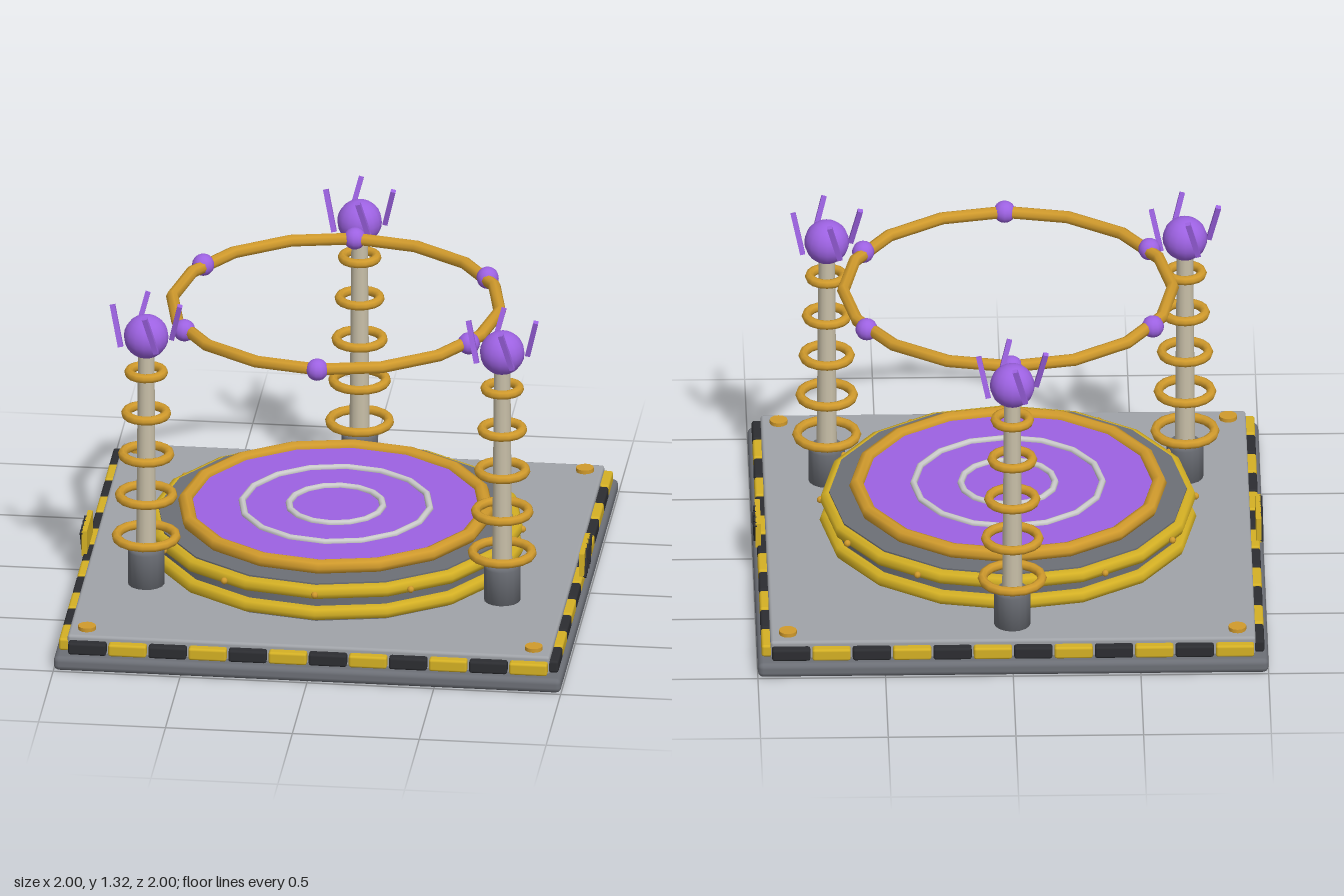
import * as THREE from 'three';
import { RoundedBoxGeometry } from 'three/addons/geometries/RoundedBoxGeometry.js';

const mat = (color) => new THREE.MeshStandardMaterial({ color });
const M = {
  steel: mat(0x6c6f76), plate: mat(0xa0a3a8), yellow: mat(0xd4b024), black: mat(0x2c2d31),
  brass: mat(0xd09a2c), purple: mat(0x9d62e2), stone: mat(0xc8bfa8), silver: mat(0xc4c4c6),
};

function add(parent, name, geometry, material, x = 0, y = 0, z = 0) {
  const mesh = new THREE.Mesh(geometry, material);
  mesh.name = name;
  mesh.position.set(x, y, z);
  parent.add(mesh);
  return mesh;
}

function group(parent, name) {
  const g = new THREE.Group();
  g.name = name;
  parent.add(g);
  return g;
}

// Horizontal ring lying in the xz plane
const ring = (radius, tube, sides = 16) =>
  new THREE.TorusGeometry(radius, tube, 8, sides).rotateX(Math.PI / 2);

function buildBase(root) {
  const base = group(root, 'base');
  add(base, 'baseSlab', new RoundedBoxGeometry(2, 0.06, 2, 2, 0.022), M.steel, 0, 0.03, 0);
  add(base, 'deckPlate', new RoundedBoxGeometry(1.9, 0.08, 1.9, 2, 0.012), M.plate, 0, 0.095, 0);

  // Hazard border: the same row turned to each side
  const block = new RoundedBoxGeometry(0.15, 0.05, 0.045, 2, 0.01);
  for (let side = 0; side < 4; side++) {
    const row = group(base, 'hazardBorder');
    row.rotation.y = side * Math.PI / 2;
    for (let i = 0; i < 12; i++) {
      add(row, 'hazardBlock', block, i % 2 ? M.black : M.yellow, (i - 5.5) * 0.158, 0.09, -0.962);
    }
  }

  // Corner bolts
  const bolt = new THREE.CylinderGeometry(0.035, 0.035, 0.025, 12);
  for (const x of [-0.88, 0.88]) {
    for (const z of [-0.88, 0.88]) add(base, 'cornerBolt', bolt, M.brass, x, 0.138, z);
  }

  // Striped warning plates on both sides
  for (const turn of [0, Math.PI]) {
    const sign = group(base, 'warningPlate');
    sign.rotation.y = turn;
    add(sign, 'signPanel', new THREE.BoxGeometry(0.02, 0.104, 0.21), M.yellow, 0.98, 0.158, 0);
    for (let i = 0; i < 4; i++) {
      const stripe = add(sign, 'signStripe', new THREE.BoxGeometry(0.012, 0.115, 0.02),
        M.black, 0.992, 0.158, (i - 1.5) * 0.046);
      stripe.rotation.x = -0.55;
    }
  }
}

function buildPlatform(root) {
  const platform = group(root, 'platform');
  const drum = new THREE.CylinderGeometry(0.7, 0.7, 0.165, 16).rotateY(Math.PI / 2);
  add(platform, 'drum', drum, M.steel, 0, 0.2125, 0);
  add(platform, 'lowerBand', ring(0.708, 0.03), M.yellow, 0, 0.172, 0);
  add(platform, 'upperBand', ring(0.708, 0.03), M.yellow, 0, 0.262, 0);
  add(platform, 'glowDisc', new THREE.CylinderGeometry(0.585, 0.585, 0.04, 16).rotateY(Math.PI / 2),
    M.purple, 0, 0.306, 0);
  add(platform, 'discRim', ring(0.592, 0.03), M.brass, 0, 0.32, 0);
  for (const r of [0.37, 0.185]) add(platform, 'floorRing', ring(r, 0.014), M.silver, 0, 0.328, 0);

  // Rivets round the upper band
  for (let i = 0; i < 12; i++) {
    const a = i * Math.PI / 6;
    add(platform, 'rivet', new THREE.SphereGeometry(0.014, 8, 6), M.brass,
      0.735 * Math.cos(a), 0.26, 0.735 * Math.sin(a));
  }
}

function buildPylon(root, angle) {
  const pylon = group(root, 'pylon');
  pylon.position.set(0.81 * Math.cos(angle), 0, 0.81 * Math.sin(angle));

  // Bevelled socket as a turned profile
  const profile = [[0, 0.13], [0.072, 0.13], [0.072, 0.275], [0.062, 0.287], [0, 0.287]]
    .map(([r, y]) => new THREE.Vector2(r, y));
  add(pylon, 'socket', new THREE.LatheGeometry(profile, 16), M.steel);
  add(pylon, 'column', new THREE.CylinderGeometry(0.032, 0.04, 0.88, 12), M.stone, 0, 0.71, 0);

  // Coils shrink with height
  for (let i = 0; i < 5; i++) {
    add(pylon, 'coil', ring(0.117 - i * 0.0125, 0.019), M.brass, 0, 0.335 + i * 0.175, 0);
  }
  add(pylon, 'orb', new THREE.SphereGeometry(0.088, 16, 12), M.purple, 0, 1.188, 0);

  // Four slanted prongs swirling round the orb
  const foot = new THREE.Vector3(0.095, 1.16, -0.05);
  const tip = new THREE.Vector3(0.132, 1.32, -0.008);
  const dir = tip.clone().sub(foot);
  for (let i = 0; i < 4; i++) {
    const holder = group(pylon, 'prongHolder');
    holder.rotation.y = i * Math.PI / 2;
    const prong = add(holder, 'prong', new THREE.BoxGeometry(0.02, dir.length(), 0.02), M.purple);
    prong.position.copy(foot).add(tip).multiplyScalar(0.5);
    prong.quaternion.setFromUnitVectors(new THREE.Vector3(0, 1, 0), dir.clone().normalize());
  }
}

function buildHoop(root) {
  const hoop = group(root, 'floatingHoop');
  hoop.position.y = 1.185;
  add(hoop, 'hoopRing', ring(0.645, 0.025), M.brass);
  for (let i = 0; i < 6; i++) {
    const a = Math.PI / 2 + i * Math.PI / 3;
    add(hoop, 'hoopBead', new THREE.SphereGeometry(0.044, 12, 10), M.purple,
      0.647 * Math.cos(a), 0, 0.647 * Math.sin(a));
  }
}

export function createModel() {
  const root = new THREE.Group();
  root.name = 'teleportPad';
  buildBase(root);
  buildPlatform(root);
  for (let i = 0; i < 3; i++) buildPylon(root, -Math.PI / 2 + i * Math.PI * 2 / 3);
  buildHoop(root);
  return root;
}
